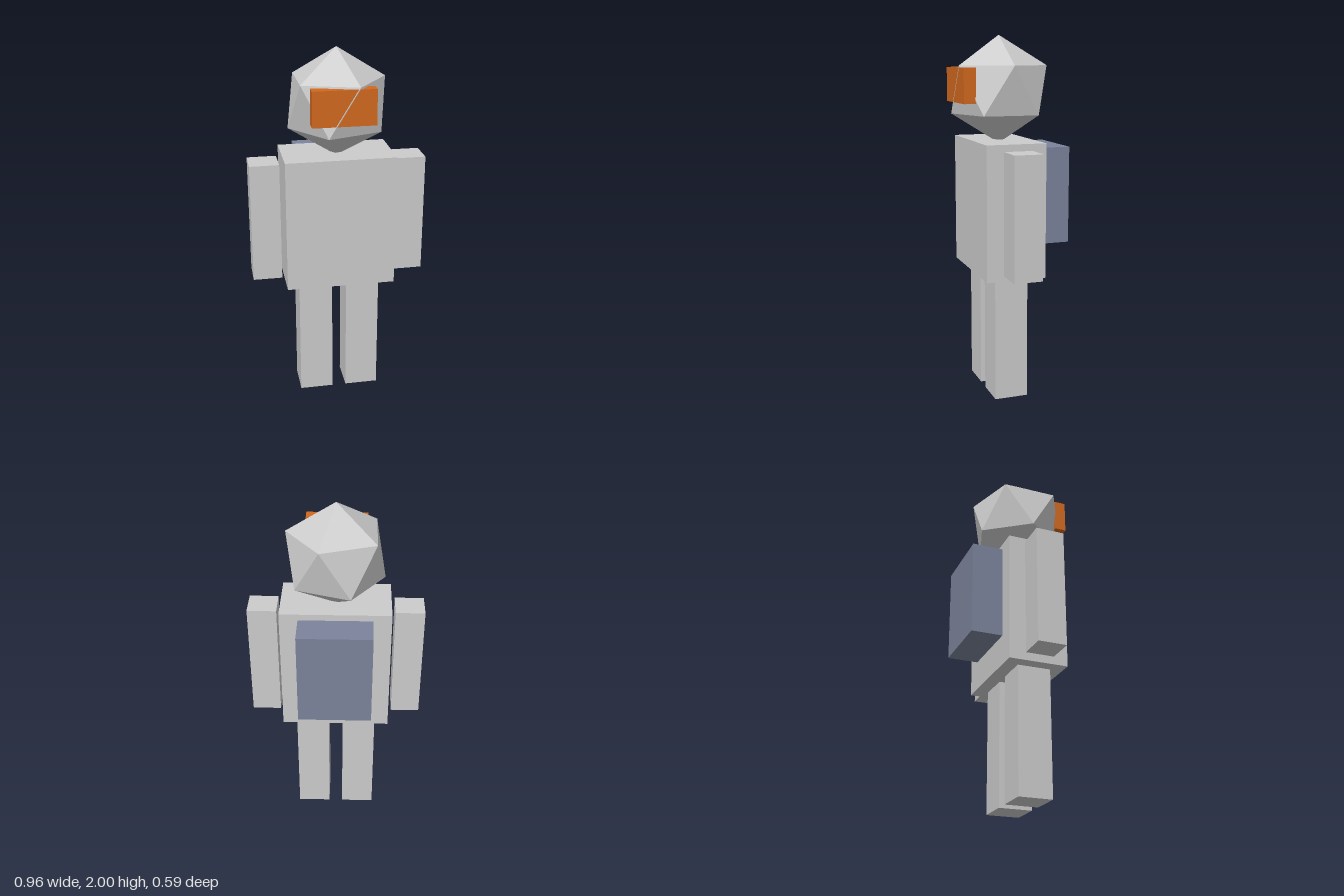
import * as THREE from 'three';
import { ConvexGeometry } from 'three/addons/geometries/ConvexGeometry.js';

const grey = new THREE.MeshStandardMaterial({ color: 0xcccccc, flatShading: true });
const orange = new THREE.MeshStandardMaterial({ color: 0xd2691e, flatShading: true });
const slate = new THREE.MeshStandardMaterial({ color: 0x7c839b, flatShading: true });

// Box given by its extents along each axis
function box(name, [x0, x1], [y0, y1], [z0, z1], material = grey) {
  const mesh = new THREE.Mesh(new THREE.BoxGeometry(x1 - x0, y1 - y0, z1 - z0), material);
  mesh.position.set((x0 + x1) / 2, (y0 + y1) / 2, (z0 + z1) / 2);
  mesh.name = name;
  return mesh;
}

// Icosahedron standing on a corner, with an upper-ring corner towards +x
function icosahedron(r) {
  const points = [new THREE.Vector3(0, r, 0), new THREE.Vector3(0, -r, 0)];
  const ring = (2 * r) / Math.sqrt(5);
  for (let i = 0; i < 10; i++) {
    const a = (i * Math.PI) / 5;
    const y = (i % 2 ? -1 : 1) * ring / 2;
    points.push(new THREE.Vector3(ring * Math.cos(a), y, ring * Math.sin(a)));
  }
  return new ConvexGeometry(points);
}

export function createModel() {
  const model = new THREE.Group();
  model.name = 'figure';

  // Head with visor
  const head = new THREE.Mesh(icosahedron(0.293), grey);
  head.position.set(0, 1.707, 0.043);
  head.name = 'head';
  model.add(head);
  model.add(box('visor', [-0.167, 0.167], [1.64, 1.828], [0.225, 0.291], orange));

  // Torso and backpack
  model.add(box('torso', [-0.3, 0.3], [0.7, 1.435], [-0.122, 0.211]));
  model.add(box('backpack', [-0.2, 0.2], [0.867, 1.4], [-0.297, -0.122], slate));

  // Limbs, mirrored across x
  for (const [side, s] of [['left', 1], ['right', -1]]) {
    const span = (a, b) => (s > 0 ? [a, b] : [-b, -a]);
    model.add(box(side + 'Arm', span(0.32, 0.48), [0.735, 1.4], [-0.036, 0.123]));
    model.add(box(side + 'Leg', span(0.04, 0.227), [0, 0.7], [-0.045, 0.142]));
  }
  return model;
}
